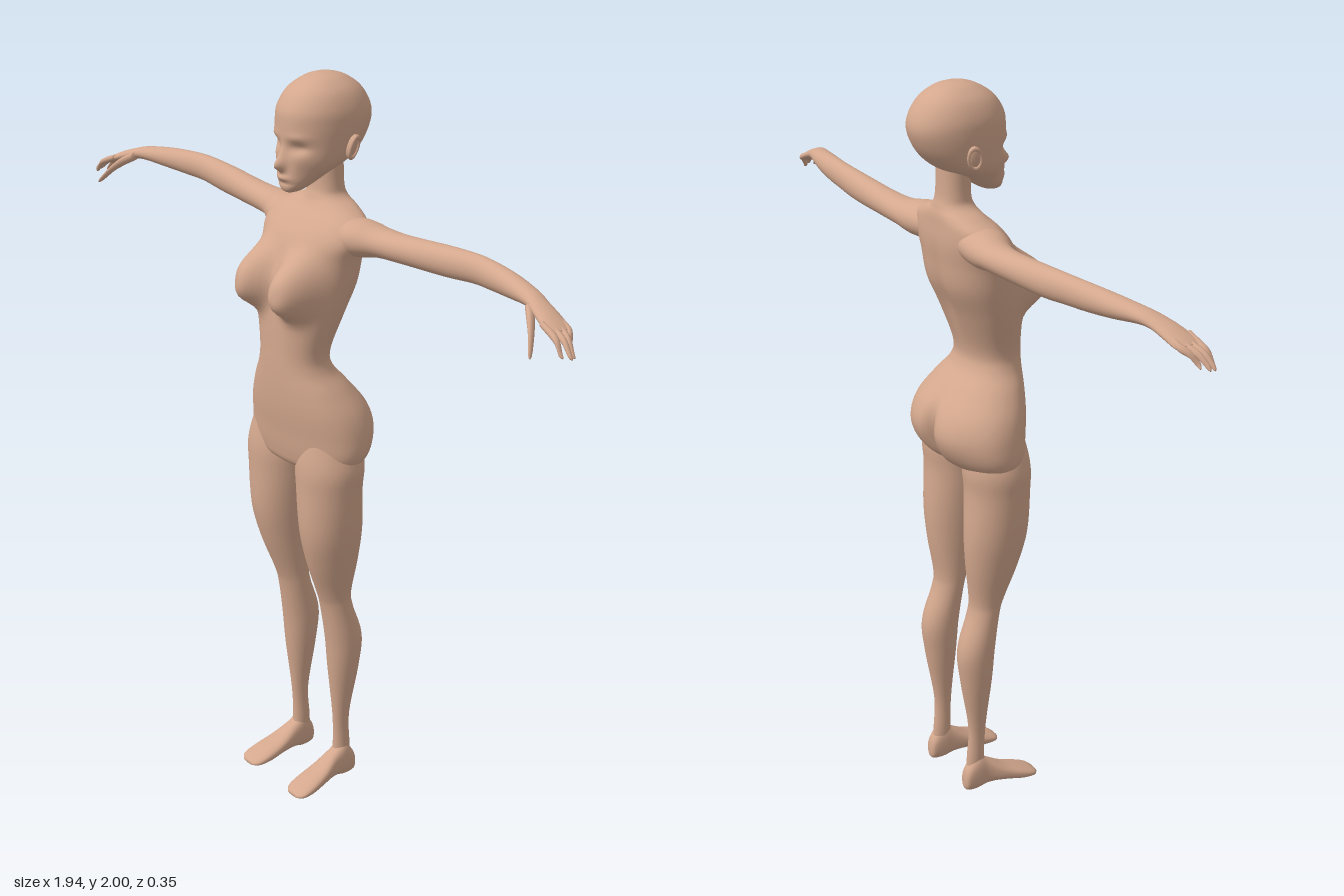
import * as THREE from 'three';

const skin = new THREE.MeshStandardMaterial({ color: 0xd3a78d });
skin.name = 'skin';

const cubic = (a, b, c, d, t) =>
  b + 0.5 * t * (c - a + t * (2 * a - 5 * b + 4 * c - d + t * (3 * (b - c) + d - a)));

// Smooth closed skin through rows of [t, pMin, pMax, qMin, qMax].
// place(t, p, q) puts a point in space; bumps are soft local pushes
// given as [centre, spread, push, sharpness].
function loft(name, rows, place, { segs = 32, steps = 5, power = 2, bumps = [] } = {}) {
  const n = rows.length - 1, pos = [], index = [];
  const add = (t, p, q) => {
    const v = place(t, p, q), o = v.clone();
    for (const [c, s, d, k = 1] of bumps) {
      const r2 = ((o.x - c[0]) / s[0]) ** 2 + ((o.y - c[1]) / s[1]) ** 2 + ((o.z - c[2]) / s[2]) ** 2;
      const w = Math.exp(-(r2 ** k));
      v.x += d[0] * w; v.y += d[1] * w; v.z += d[2] * w;
    }
    pos.push(v.x, v.y, v.z);
  };
  const round = (x) => Math.sign(x) * Math.abs(x) ** (2 / power);
  const total = n * steps;
  const ends = [];
  for (let i = 0; i <= total; i++) {
    const k = Math.min(Math.floor(i / steps), n - 1), f = i / steps - k;
    const at = (j) => rows[Math.max(0, Math.min(n, j))];
    const [t, p0, p1, q0, q1] = rows[0].map((_, c) =>
      cubic(at(k - 1)[c], at(k)[c], at(k + 1)[c], at(k + 2)[c], f));
    for (let j = 0; j < segs; j++) {
      const a = (j / segs) * Math.PI * 2;
      add(t, (p0 + p1) / 2 + ((p1 - p0) / 2) * round(Math.cos(a)),
        (q0 + q1) / 2 + ((q1 - q0) / 2) * round(Math.sin(a)));
    }
    if (i === 0 || i === total) ends.push([t, (p0 + p1) / 2, (q0 + q1) / 2]);
  }
  for (let i = 0; i < total; i++) for (let j = 0; j < segs; j++) {
    const a = i * segs + j, b = i * segs + ((j + 1) % segs);
    index.push(a, b, a + segs, b, b + segs, a + segs);
  }
  // End caps
  const first = pos.length / 3;
  ends.forEach((e) => add(...e));
  for (let j = 0; j < segs; j++) {
    const k = (j + 1) % segs, top = total * segs;
    index.push(first, k, j, first + 1, top + j, top + k);
  }
  // Turn the faces outward whichever way the rows run
  const pt = (i) => new THREE.Vector3().fromArray(pos, i * 3);
  let volume = 0;
  for (let i = 0; i < index.length; i += 3)
    volume += pt(index[i]).dot(pt(index[i + 1]).cross(pt(index[i + 2])));
  if (volume < 0) index.reverse();
  const geo = new THREE.BufferGeometry();
  geo.setAttribute('position', new THREE.Float32BufferAttribute(pos, 3));
  geo.setIndex(index);
  geo.computeVertexNormals();
  const mesh = new THREE.Mesh(geo, skin);
  mesh.name = name;
  return mesh;
}

const V = (x, y, z) => new THREE.Vector3(x, y, z);
const upright = (y, x, z) => V(x, y, z);
const both = (f) => [-1, 1].flatMap(f);

// Torso and neck, with bust, cleft and spine pushed into shape
function makeTorso() {
  const rows = [
    [1.8, 0.048, -0.095, -0.012], [1.72, 0.049, -0.097, -0.013], [1.688, 0.06, -0.104, -0.005],
    [1.666, 0.11, -0.11, 0.008], [1.64, 0.16, -0.112, 0.035], [1.6, 0.172, -0.114, 0.068],
    [1.55, 0.158, -0.11, 0.09], [1.48, 0.148, -0.1, 0.105], [1.4, 0.132, -0.066, 0.118],
    [1.3, 0.106, -0.032, 0.122], [1.25, 0.113, -0.038, 0.123], [1.2, 0.147, -0.078, 0.122],
    [1.14, 0.182, -0.122, 0.118], [1.08, 0.198, -0.134, 0.11], [1.02, 0.197, -0.112, 0.102],
    [0.985, 0.16, -0.075, 0.09], [0.962, 0.07, -0.03, 0.05],
  ].map(([y, w, b, f]) => [y, -w, w, b, f]);
  const bumps = [
    ...both((s) => [[[s * 0.075, 1.485, 0.1], [0.057, 0.075, 0.09], [s * 0.008, -0.008, 0.078], 1.7]]),
    ...both((s) => [[[s * 0.085, 1.07, -0.13], [0.06, 0.07, 0.08], [0, 0, -0.008]]]),
    [[0, 1.05, -0.13], [0.02, 0.085, 0.07], [0, 0, 0.035]],
    [[0, 1.45, -0.09], [0.025, 0.14, 0.05], [0, 0, 0.01]],
  ];
  return loft('torso', rows, upright, { segs: 96, steps: 6, power: 2.15, bumps });
}

// Head with brow, eye sockets, nose, lips and chin
function makeHead() {
  const g = new THREE.Group();
  g.name = 'head';
  const rows = [
    [1.711, 0.012, 0.045, 0.072], [1.718, 0.028, 0.025, 0.08], [1.735, 0.047, -0.005, 0.084],
    [1.76, 0.069, -0.045, 0.084], [1.79, 0.086, -0.108, 0.083], [1.83, 0.095, -0.15, 0.082],
    [1.88, 0.1, -0.173, 0.083], [1.92, 0.097, -0.168, 0.077], [1.96, 0.079, -0.142, 0.05],
    [1.987, 0.047, -0.103, 0.008], [1.998, 0.016, -0.065, -0.028],
  ].map(([y, w, b, f]) => [y, -w, w, b, f]);
  const bumps = [
    [[0, 1.785, 0.085], [0.013, 0.017, 0.05], [0, -0.003, 0.024]],
    [[0, 1.81, 0.085], [0.012, 0.025, 0.05], [0, 0, 0.008]],
    [[0, 1.75, 0.085], [0.022, 0.007, 0.05], [0, 0, 0.007]],
    [[0, 1.736, 0.085], [0.03, 0.006, 0.05], [0, 0, -0.003]],
    ...both((s) => [
      [[s * 0.042, 1.828, 0.07], [0.026, 0.014, 0.05], [0, 0, -0.013]],
      [[s * 0.045, 1.855, 0.07], [0.03, 0.01, 0.05], [0, 0, 0.004]],
      [[s * 0.06, 1.76, 0.05], [0.025, 0.03, 0.05], [-s * 0.006, 0, -0.006]],
    ]),
  ];
  g.add(loft('skull and face', rows, upright, { segs: 112, steps: 8, power: 2.15, bumps }));
  // Ears: a rounded plate with a raised rim
  for (const s of [-1, 1]) {
    const ear = new THREE.Group();
    ear.name = s > 0 ? 'leftEar' : 'rightEar';
    const plate = new THREE.Mesh(new THREE.SphereGeometry(1, 20, 14), skin);
    plate.name = 'ear plate';
    plate.scale.set(0.01, 0.032, 0.018);
    const rim = new THREE.Mesh(new THREE.TorusGeometry(0.022, 0.005, 10, 28), skin);
    rim.name = 'ear rim';
    rim.rotation.y = Math.PI / 2;
    rim.scale.set(0.75, 1.25, 1);
    rim.position.x = s * 0.006;
    ear.add(plate, rim);
    ear.position.set(s * 0.103, 1.828, -0.055);
    ear.rotation.set(-0.12, s * 0.3, -s * 0.2);
    g.add(ear);
  }
  return g;
}

// Arm runs outward along x and drops into a relaxed hand
function makeArm(s) {
  const g = new THREE.Group();
  g.name = s > 0 ? 'leftArm' : 'rightArm';
  const outward = (x, y, z) => V(s * x, y, z);
  g.add(loft('arm and palm', [
    [0.09, 1.56, 1.655, -0.1, 0.03], [0.16, 1.56, 1.654, -0.11, 0.015],
    [0.22, 1.57, 1.645, -0.109, -0.013], [0.3, 1.573, 1.645, -0.106, -0.028],
    [0.45, 1.579, 1.656, -0.106, -0.04], [0.55, 1.589, 1.661, -0.101, -0.044],
    [0.62, 1.593, 1.66, -0.094, -0.035], [0.7, 1.599, 1.655, -0.08, -0.02],
    [0.78, 1.607, 1.645, -0.058, -0.002], [0.82, 1.603, 1.634, -0.046, 0.012],
    [0.86, 1.59, 1.62, -0.04, 0.026], [0.895, 1.579, 1.603, -0.034, 0.034],
    [0.91, 1.58, 1.594, -0.026, 0.028],
  ], outward, { segs: 36 }));
  const finger = (name, pts) => g.add(loft(name,
    pts.map(([x, y, z, r]) => [x, y - r, y + r, z - r, z + r]), outward, { segs: 12, steps: 4 }));
  // Four fingers fanned across the palm
  [0.945, 0.965, 0.968, 0.95].forEach((tip, i) => {
    const z = -0.025 + i * 0.017, end = 0.004 + i * 0.011;
    finger('finger', [
      [0.87, 1.603, z, 0.008], [0.905, 1.589, z + 0.003, 0.009],
      [(0.905 + tip) / 2, 1.577, (z + end) / 2 + 0.002, 0.008],
      [tip - 0.008, 1.556, end, 0.006], [tip, 1.549, end, 0.002],
    ]);
  });
  finger('thumb', [
    [0.8, 1.618, 0, 0.012], [0.83, 1.6, 0.022, 0.013], [0.855, 1.577, 0.043, 0.01],
    [0.878, 1.546, 0.066, 0.007], [0.885, 1.537, 0.073, 0.002],
  ]);
  return g;
}

// Thigh, knee, calf and foot
function makeLeg(s) {
  const g = new THREE.Group();
  g.name = s > 0 ? 'leftLeg' : 'rightLeg';
  g.add(loft('thigh and calf', [
    [1.1, 0.04, 0.16, -0.06, 0.08], [1.0, 0.012, 0.196, -0.078, 0.1],
    [0.92, 0.016, 0.194, -0.074, 0.101], [0.8, 0.028, 0.184, -0.079, 0.097],
    [0.7, 0.038, 0.165, -0.073, 0.073], [0.6, 0.046, 0.142, -0.06, 0.036],
    [0.55, 0.047, 0.14, -0.066, 0.022], [0.45, 0.048, 0.144, -0.098, 0.008],
    [0.35, 0.056, 0.136, -0.09, 0], [0.2, 0.073, 0.114, -0.066, -0.015],
    [0.1, 0.072, 0.112, -0.07, -0.018], [0.04, 0.074, 0.114, -0.074, -0.01],
  ], (y, x, z) => V(s * x, y, z), { segs: 40 }));
  g.add(loft('foot', [
    [-0.084, 0.087, 0.103, 0.015, 0.04], [-0.076, 0.076, 0.115, 0.003, 0.07],
    [-0.045, 0.07, 0.12, 0, 0.105], [-0.01, 0.068, 0.122, 0.008, 0.086],
    [0.04, 0.063, 0.135, 0.008, 0.056], [0.09, 0.062, 0.143, 0, 0.036],
    [0.125, 0.068, 0.141, 0, 0.021], [0.14, 0.085, 0.125, 0.003, 0.011],
  ], (z, x, y) => V(s * x, y, z), { segs: 36, power: 2.5 }));
  return g;
}

export function createModel() {
  const model = new THREE.Group();
  model.name = 'figure';
  model.add(makeTorso(), makeHead());
  for (const s of [-1, 1]) model.add(makeArm(s), makeLeg(s));
  return model;
}
